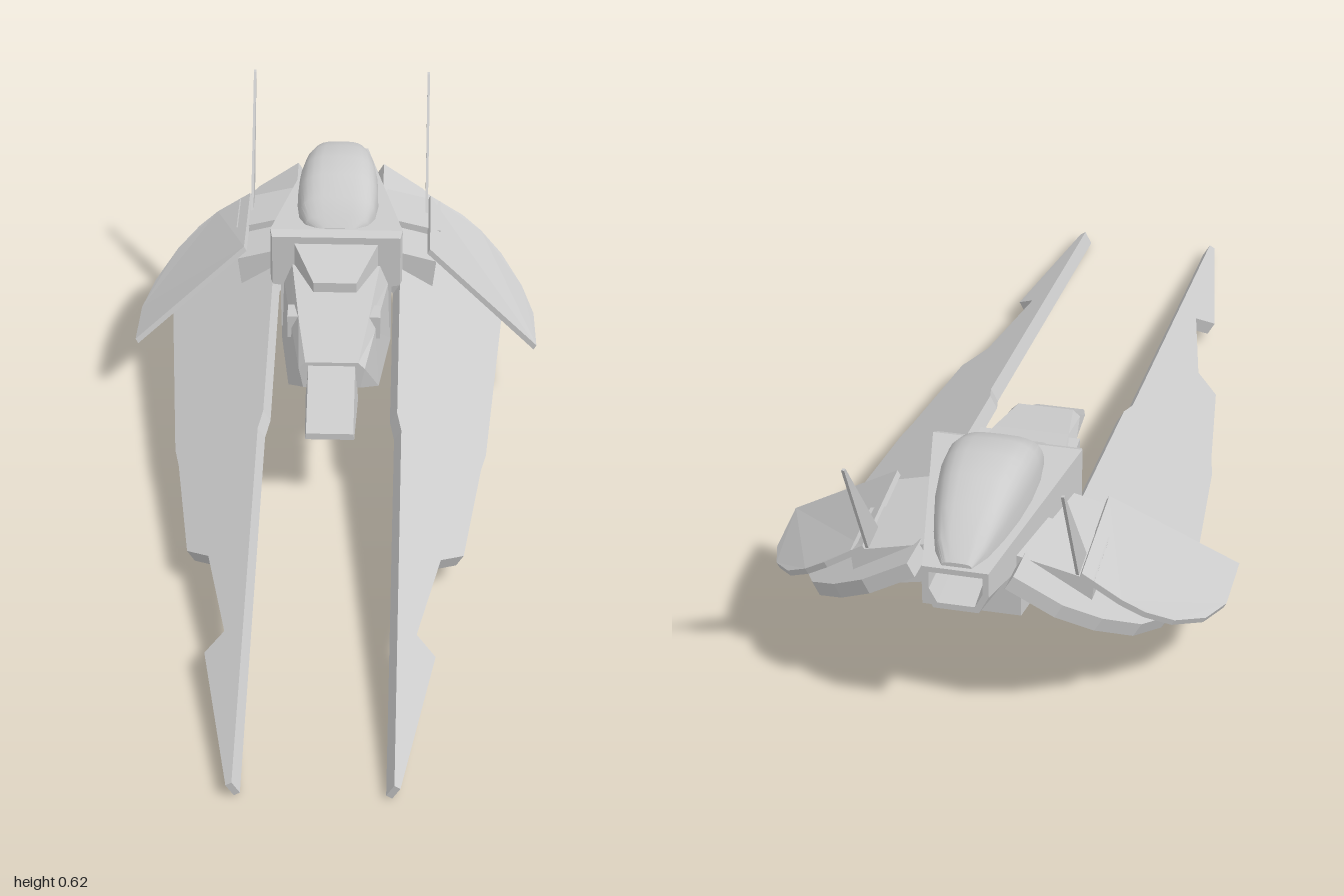
import * as THREE from 'three';
import { mergeVertices, toCreasedNormals } from 'three/addons/utils/BufferGeometryUtils.js';

const material = new THREE.MeshStandardMaterial({ color: 0xcccccc, flatShading: true });
const smoothMaterial = new THREE.MeshStandardMaterial({ color: 0xcccccc });

// Solid through a series of rings of equal length; end caps are triangulated with one axis dropped.
function loft(rings, dropAxis) {
  const tris = [];
  const n = rings[0].length;
  for (let r = 0; r < rings.length - 1; r++) {
    for (let i = 0; i < n; i++) {
      const j = (i + 1) % n;
      const a = rings[r][i], b = rings[r][j], c = rings[r + 1][j], d = rings[r + 1][i];
      tris.push([a, b, c], [a, c, d]);
    }
  }
  const cap = (ring, first) => {
    const flat = ring.map(p => new THREE.Vector2(...p.filter((_, k) => k !== dropAxis)));
    const sign = Math.sign(THREE.ShapeUtils.area(flat));
    for (const [i, j, k] of THREE.ShapeUtils.triangulateShape(flat, [])) {
      const same = THREE.ShapeUtils.area([flat[i], flat[j], flat[k]]) * sign > 0;
      tris.push(same !== first ? [ring[i], ring[j], ring[k]] : [ring[i], ring[k], ring[j]]);
    }
  };
  cap(rings[0], true);
  cap(rings[rings.length - 1], false);

  // Turn every face outward if the enclosed volume came out negative
  const v = p => new THREE.Vector3(...p);
  const volume = tris.reduce((s, [a, b, c]) => s + v(a).dot(v(b).cross(v(c))), 0);
  if (volume < 0) tris.forEach(t => t.reverse());
  const geo = new THREE.BufferGeometry();
  geo.setAttribute('position', new THREE.Float32BufferAttribute(tris.flat(2), 3));
  geo.computeVertexNormals();
  return geo;
}

// Symmetric cross-section at z from right-hand [x, y] points listed top to bottom
const section = (z, half) => [
  ...half.map(([x, y]) => [x, y, z]),
  ...half.slice().reverse().map(([x, y]) => [-x, y, z]),
];

// Slanted plate: an [x, z] outline laid on a surface and thickened along an offset
function plate(outline, height, offset, side) {
  const top = outline.map(([x, z]) => [x * side, height(x, z), z]);
  const bottom = top.map(([x, y, z]) => [x + offset[0] * side, y + offset[1], z + offset[2]]);
  return loft([top, bottom], 1);
}

export function createModel() {
  const group = new THREE.Group();
  const add = (name, geo, mat = material) => {
    const mesh = new THREE.Mesh(geo, mat);
    mesh.name = name;
    group.add(mesh);
  };

  // Main body, tapering to a hollow engine outlet at the rear
  add('body', loft([
    section(-0.53, [[0.15, 0.4], [0.15, 0.275], [0.12, 0.27]]),
    section(-0.55, [[0.155, 0.41], [0.155, 0.27], [0.12, 0.265]]),
    section(-0.99, [[0.065, 0.4], [0.065, 0.345], [0.045, 0.305]]),
    section(-0.99, [[0.053, 0.388], [0.053, 0.35], [0.037, 0.318]]),
    section(-0.9, [[0.05, 0.385], [0.05, 0.35], [0.035, 0.32]]),
  ], 2));

  // Lower hull, rising toward the rear
  add('lowerHull', loft([
    section(-0.53, [[0.13, 0.3], [0.13, 0.16]]),
    section(-0.87, [[0.1, 0.33], [0.1, 0.22]]),
  ], 2));

  // Nose with undercut front, and the sloping chin in front of it
  add('nose', loft([
    section(-0.19, [[0.06, 0.265], [0.075, 0.25], [0.065, 0.2]]),
    section(-0.33, [[0.08, 0.295], [0.095, 0.265], [0.105, 0.12]]),
    section(-0.55, [[0.105, 0.33], [0.125, 0.28], [0.13, 0.12]]),
  ], 2));
  add('chin', loft([
    section(-0.04, [[0.053, 0.17], [0.055, 0.155]]),
    section(-0.2, [[0.053, 0.262], [0.06, 0.165]]),
  ], 2));
  add('noseWedge', loft([
    section(-0.43, [[0.05, 0.335], [0.05, 0.3]]),
    section(-0.535, [[0.1, 0.385], [0.1, 0.3]]),
  ], 2));

  // Canopy: boxy rounded sections [z, half width, height]
  const canopySections = [
    [-0.555, 0.045, 0.012], [-0.575, 0.075, 0.035], [-0.61, 0.09, 0.067], [-0.67, 0.096, 0.095],
    [-0.74, 0.094, 0.107], [-0.81, 0.085, 0.1], [-0.88, 0.07, 0.075], [-0.94, 0.052, 0.043], [-0.98, 0.03, 0.01],
  ];
  const canopy = loft(canopySections.map(([z, w, h]) => {
    const ring = [];
    for (let i = 0; i <= 14; i++) {
      const a = Math.PI * i / 14, c = Math.cos(a);
      ring.push([Math.sign(c) * w * Math.abs(c) ** 0.6, 0.399 + h * Math.sin(a) ** 0.6, z]);
    }
    return ring;
  }), 2);
  canopy.deleteAttribute('normal');
  add('canopy', toCreasedNormals(mergeVertices(canopy), 0.6), smoothMaterial);

  const wingOutline = [
    [0.16, 1], [0.172, 1], [0.24, 0.6], [0.2, 0.565], [0.25, 0.31], [0.3, 0.26], [0.34, -0.04],
    [0.352, -0.1], [0.385, -0.5], [0.395, -0.62], [0.375, -0.75], [0.335, -0.84], [0.27, -0.905],
    [0.2, -0.945], [0.105, -0.955], [0.105, -0.6], [0.15, -0.53], [0.15, -0.08], [0.16, -0.03],
  ];
  const finOutline = [
    [0.22, -0.595], [0.475, -0.495], [0.472, -0.64], [0.445, -0.73], [0.395, -0.81],
    [0.345, -0.85], [0.3, -0.865], [0.22, -0.865],
  ];

  for (const side of [1, -1]) {
    const label = side > 0 ? 'left' : 'right';

    // Long forward wing with notched outer edge and rounded tail
    add(label + 'Wing', plate(wingOutline,
      (x, z) => 0.19 - 0.165 * z - 0.62 * (x - 0.15), [-0.016, -0.028, -0.004], side));

    // Drooping outer fin
    add(label + 'Fin', plate(finOutline,
      x => 0.325 - 0.62 * (x - 0.24) - 0.75 * (x - 0.24) ** 2, [-0.006, -0.012, 0], side));

    // Stepped block joining body, wing and fin
    const rootBlock = (z0, z1, width, drop) => loft([z0, z1].map(z => [
      [0.09 * side, 0.36 - drop, z], [width * side, 0.322 - drop, z],
      [(width - 0.008) * side, 0.24, z], [0.09 * side, 0.27, z],
    ]), 2);
    add(label + 'RootFront', rootBlock(-0.59, -0.72, 0.235, 0.015));
    add(label + 'RootRear', rootBlock(-0.715, -0.865, 0.245, 0));

    // Raked antenna blade
    const blade = [[-0.785, 0.325], [-0.86, 0.325], [-1, 0.605], [-0.99, 0.603]];
    add(label + 'Antenna', loft([0.208, 0.214].map(x => blade.map(([z, y]) => [x * side, y, z])), 0));

    // Small vent on the nose flank
    const vent = new THREE.BoxGeometry(0.03, 0.055, 0.055);
    vent.translate(0.092 * side, 0.268, -0.37);
    add(label + 'Vent', vent);
  }
  return group;
}
